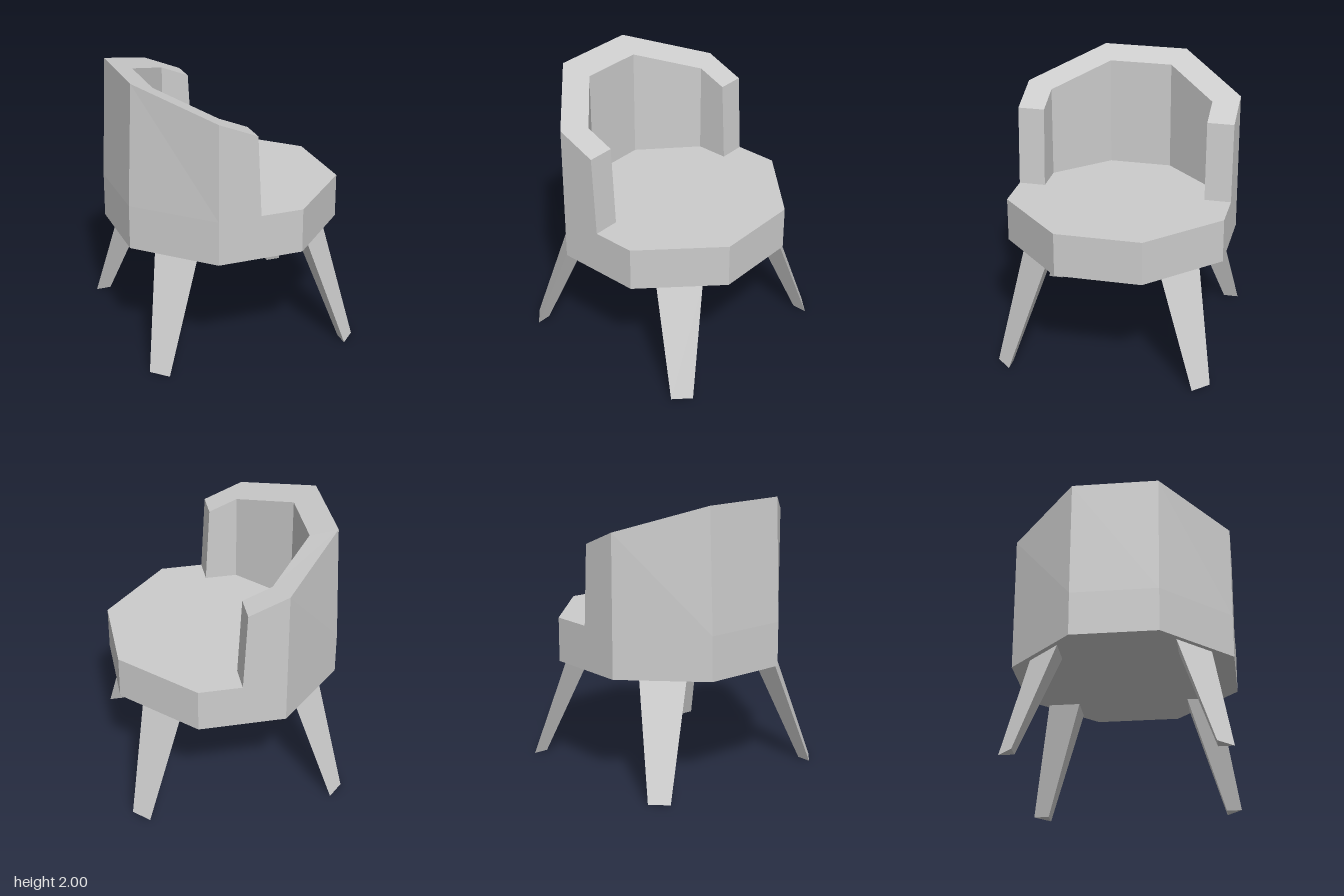
import * as THREE from 'three';

// Flat-faced solid through a list of rings, with both ends capped.
function loft(rings) {
  const pos = [];
  const tri = (a, b, c) => pos.push(...a, ...b, ...c);
  const n = rings[0].length;
  for (let i = 0; i < rings.length - 1; i++) {
    const r = rings[i], s = rings[i + 1];
    for (let k = 0; k < n; k++) {
      const m = (k + 1) % n;
      tri(r[k], r[m], s[m]);
      tri(r[k], s[m], s[k]);
    }
  }
  const first = rings[0], last = rings[rings.length - 1];
  for (let k = 1; k < n - 1; k++) {
    tri(first[0], first[k + 1], first[k]);
    tri(last[0], last[k], last[k + 1]);
  }
  const geometry = new THREE.BufferGeometry();
  geometry.setAttribute('position', new THREE.Float32BufferAttribute(pos, 3));
  geometry.computeVertexNormals();
  return geometry;
}

export function createModel() {
  const group = new THREE.Group();
  const grey = new THREE.MeshStandardMaterial({ color: 0xcccccc });
  grey.name = 'grey';

  const add = (name, geometry) => {
    const mesh = new THREE.Mesh(geometry, grey);
    mesh.name = name;
    group.add(mesh);
    return mesh;
  };

  // Octagonal seat block
  const w = 0.79, c = 0.31;
  const octagon = [[w, c], [w, -c], [c, -w], [-c, -w], [-w, -c], [-w, c], [-c, w], [c, w]];
  add('seat', loft([0.8, 1.12].map((y) => octagon.map(([x, z]) => [x, y, z]))));

  // Wraparound back: each section is outer foot, outer top, inner top, inner foot
  const y0 = 1.12;
  const half = [
    [[0, y0, w], [-0.03, 1.7, w], [-0.03, 1.7, 0.597], [0, y0, 0.597]],
    [[-c, y0, w], [-c, 1.816, w], [-0.235, 1.785, 0.597], [-0.235, y0, 0.597]],
    [[-w, y0, c], [-0.755, 2, c], [-0.575, 1.926, 0.23], [-0.575, y0, 0.23]],
  ];
  const mirrored = half.map((ring) => ring.map(([x, y, z]) => [x, y, -z])).reverse();
  add('backrest', loft([...half, ...mirrored]));

  // Four splayed, tapering legs with a triangular section
  const triangle = (y, near, far) => [[near, y, far], [far, y, near], [near, y, near]];
  const legGeometry = loft([triangle(0, 0.67, 0.78), triangle(0.8, 0.41, 0.64)]);
  const names = ['frontLeftLeg', 'backLeftLeg', 'backRightLeg', 'frontRightLeg'];
  names.forEach((name, i) => {
    add(name, legGeometry).rotation.y = (i * Math.PI) / 2;
  });

  return group;
}
